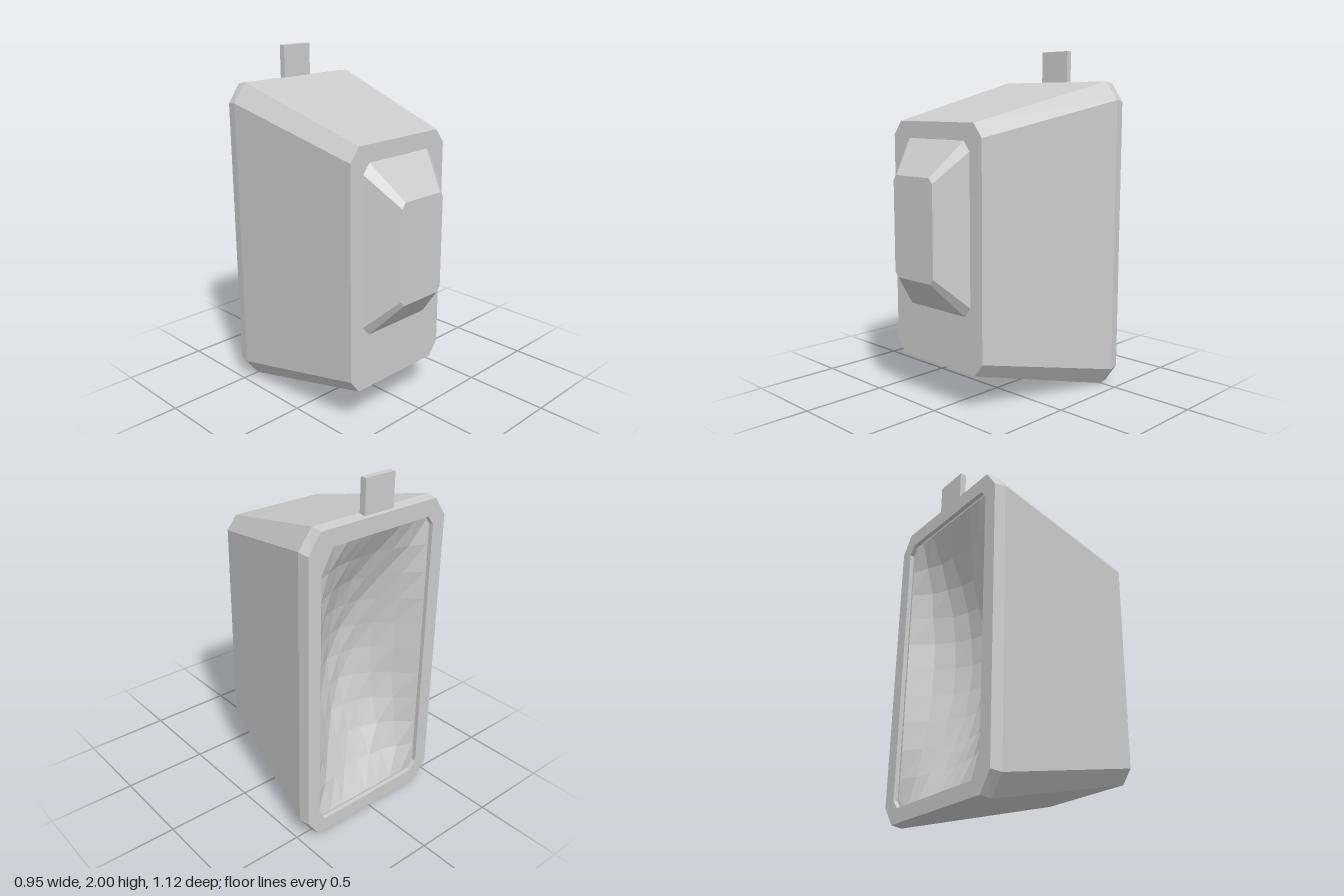
import * as THREE from 'three';

const material = new THREE.MeshStandardMaterial({ color: 0xcccccc, flatShading: true });
const doubleSided = new THREE.MeshStandardMaterial({ color: 0xcccccc, flatShading: true, side: THREE.DoubleSide });

// Rectangle with cut corners, counter-clockwise seen from +z
function octagon(x0, x1, y0, y1, cx, cy) {
  return [
    [x1, y0 + cy], [x1, y1 - cy], [x1 - cx, y1], [x0 + cx, y1],
    [x0, y1 - cy], [x0, y0 + cy], [x0 + cx, y0], [x1 - cx, y0],
  ];
}

// Skin through sections ordered from back to front, optionally closed at the front
function loft(sections, capFront) {
  const pos = [];
  const index = [];
  const n = sections[0].pts.length;
  for (const { pts, z } of sections) for (const [x, y] of pts) pos.push(x, y, z);
  for (let s = 0; s < sections.length - 1; s++) {
    for (let i = 0; i < n; i++) {
      const a = s * n + i, b = s * n + (i + 1) % n;
      index.push(a, b, b + n, a, b + n, a + n);
    }
  }
  if (capFront) {
    const base = (sections.length - 1) * n;
    for (let i = 1; i < n - 1; i++) index.push(base, base + i, base + i + 1);
  }
  const geo = new THREE.BufferGeometry();
  geo.setAttribute('position', new THREE.Float32BufferAttribute(pos, 3));
  geo.setIndex(index);
  geo.computeVertexNormals();
  return geo;
}

// Flat ring between two outlines, lying across z
function ring(outer, inner, z) {
  const toV = (pts) => pts.map(([x, y]) => new THREE.Vector2(x, y));
  const shape = new THREE.Shape(toV(outer));
  shape.holes.push(new THREE.Path(toV(inner)));
  return new THREE.ShapeGeometry(shape).translate(0, 0, z);
}

export function createModel() {
  const group = new THREE.Group();
  const add = (name, geo, mat = material) => {
    const mesh = new THREE.Mesh(geo, mat);
    mesh.name = name;
    group.add(mesh);
    return mesh;
  };

  // Tapered shell, slanting more on its left side
  const backOutline = octagon(-0.465, 0.465, 0.008, 1.807, 0.075, 0.107);
  add('housing', loft([
    { pts: backOutline, z: -0.56 },
    { pts: octagon(-0.475, 0.475, 0, 1.816, 0.082, 0.107), z: -0.497 },
    { pts: octagon(-0.444, 0.272, 0.223, 1.593, 0.06, 0.078), z: 0.39 },
  ], true));

  // Raised block on the front
  add('frontBlock', loft([
    { pts: octagon(-0.354, 0.181, 0.542, 1.498, 0.045, 0.055), z: 0.39 },
    { pts: octagon(-0.245, 0.075, 0.735, 1.305, 0.025, 0.03), z: 0.56 },
  ], true));

  // Rear frame with a shallow stepped opening
  const opening = octagon(-0.38, 0.385, 0.09, 1.715, 0.04, 0.05);
  const step = octagon(-0.372, 0.372, 0.1, 1.705, 0.035, 0.045);
  add('rearFrame', ring(backOutline, opening, -0.56), doubleSided);
  add('openingWall', loft([{ pts: opening, z: -0.56 }, { pts: opening, z: -0.535 }], false), doubleSided);
  add('openingStep', ring(opening, step, -0.535), doubleSided);

  // Faceted shallow dish facing backwards, very slightly uneven
  const W = 0.75, H = 1.61;
  const dish = new THREE.PlaneGeometry(W, H, 8, 10).rotateY(Math.PI);
  const p = dish.attributes.position;
  for (let i = 0; i < p.count; i++) {
    const x = p.getX(i), y = p.getY(i);
    const u = x / (W / 2), v = y / (H / 2);
    const hollow = (1 - u * u) * (1 - v * v);
    const wobble = 0.006 * Math.sin(i * 2.4) * Math.min(1, hollow * 3);
    p.setXYZ(i, x, y + 0.903, -0.533 + 0.27 * hollow + wobble);
  }
  dish.computeVertexNormals();
  add('dish', dish, doubleSided);

  // Upright mounting tab on the rear top edge
  add('mountingTab', new THREE.BoxGeometry(0.196, 0.22, 0.037)).position.set(-0.003, 1.89, -0.521);

  return group;
}
